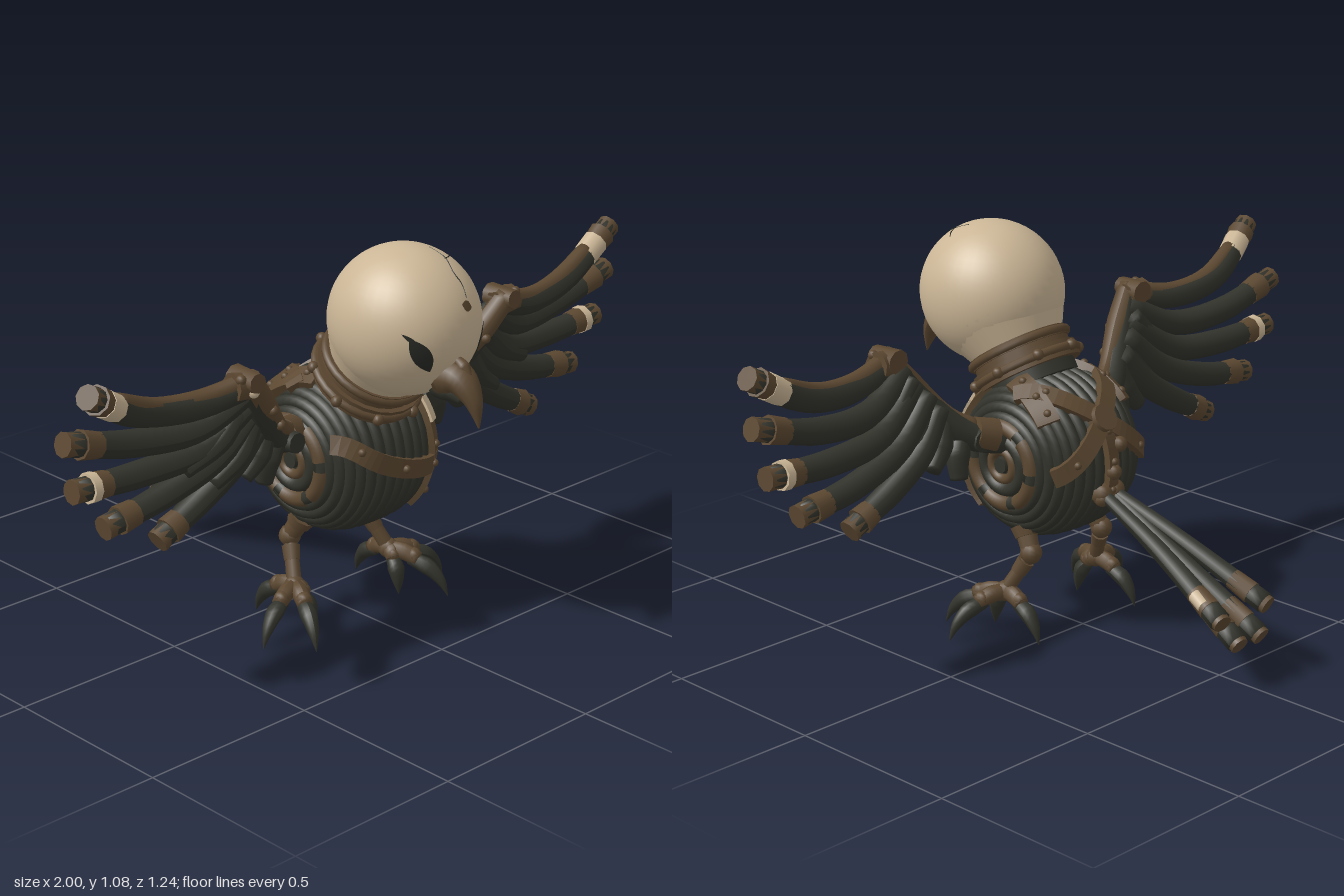
import * as THREE from 'three';

const mat = (name, color) => Object.assign(new THREE.MeshStandardMaterial({ color }), { name });
const V = (x, y, z) => new THREE.Vector3(x, y, z);

export function createModel() {
  const bone = mat('bone', 0xcbb696), leather = mat('brown leather', 0x5c4831);
  const rope = mat('dark rope', 0x32332b), black = mat('dark eye', 0x282a25);
  const model = new THREE.Group();
  const UP = V(0, 1, 0);

  const add = (name, geo, material, parent = model) => {
    const m = new THREE.Mesh(geo, material);
    m.name = name;
    parent.add(m);
    return m;
  };
  const group = (name) => {
    const g = new THREE.Group();
    g.name = name;
    model.add(g);
    return g;
  };
  // Straight rod between two points
  const rod = (name, a, b, r1, r2, material, parent, sides = 9) => {
    const d = b.clone().sub(a);
    const m = add(name, new THREE.CylinderGeometry(r2, r1, d.length(), sides), material, parent);
    m.position.copy(a).add(b).multiplyScalar(0.5);
    m.quaternion.setFromUnitVectors(UP, d.normalize());
    return m;
  };
  const ball = (name, p, r, material, parent) => {
    const m = add(name, new THREE.SphereGeometry(r, 10, 8), material, parent);
    m.position.copy(p);
    return m;
  };
  // Curved tube with closed ends whose radius follows a list
  const taper = (name, pts, radii, material, parent, segs = 18, sides = 10) => {
    const curve = new THREE.CatmullRomCurve3(pts);
    const geo = new THREE.TubeGeometry(curve, segs, 1, sides);
    const pos = geo.attributes.position, nor = geo.attributes.normal, n = V(0, 0, 0);
    for (let i = 0; i < pos.count; i++) {
      const ring = Math.floor(i / (sides + 1));
      const u = THREE.MathUtils.clamp((ring - 1) / (segs - 2), 0, 1);
      const f = u * (radii.length - 1), k = Math.min(Math.floor(f), radii.length - 2);
      const r = ring === 0 || ring === segs ? 0 : THREE.MathUtils.lerp(radii[k], radii[k + 1], f - k);
      const p = curve.getPointAt(u).addScaledVector(n.fromBufferAttribute(nor, i), r);
      pos.setXYZ(i, p.x, p.y, p.z);
    }
    geo.computeVertexNormals();
    add(name, geo, material, parent);
    return curve;
  };

  // Body: rope coils wound about the x axis over a solid core
  const body = group('body');
  const C = V(0, 0.485, 0.122), E = 0.66;
  const girth = (x, halfWidth, r) => r * Math.pow(1 - Math.pow(Math.min(Math.abs(x) / halfWidth, 0.99), 2 / E), E / 2);
  const coreProfile = [];
  for (let i = 0; i <= 24; i++) {
    const a = -Math.PI / 2 + Math.PI * i / 24, s = Math.sin(a);
    coreProfile.push(new THREE.Vector2(0.205 * Math.pow(Math.max(Math.cos(a), 0), E), 0.172 * Math.sign(s) * Math.pow(Math.abs(s), E)));
  }
  const core = add('body core', new THREE.LatheGeometry(coreProfile, 32), rope, body);
  core.position.copy(C);
  core.rotation.z = Math.PI / 2;
  const coil = (x, r, tube, material, name = 'rope coil', arc = Math.PI * 2, turn = 0) => {
    const m = add(name, new THREE.TorusGeometry(r, tube, 8, arc > 6 ? 40 : 8, arc), material, body);
    m.position.set(x, C.y, C.z);
    m.rotation.set(turn, Math.PI / 2, 0, 'XYZ');
  };
  coil(0, 0.21, 0.019, rope);
  for (const s of [-1, 1]) {
    [0.033, 0.066, 0.096, 0.12, 0.139, 0.155, 0.167].forEach((x) => coil(s * x, girth(x, 0.181, 0.21), 0.019, rope));
    coil(s * 0.176, 0.108, 0.02, rope, 'side hub coil');
    for (let k = 0; k < 6; k++) coil(s * 0.182, 0.108, 0.022, leather, 'side hub segment', 0.82, k * Math.PI / 3);
    coil(s * 0.178, 0.07, 0.02, rope, 'side hub coil');
    coil(s * 0.183, 0.04, 0.014, leather, 'side hub inner ring');
    rod('side hub cap', V(s * 0.16, C.y, C.z), V(s * 0.195, C.y, C.z), 0.025, 0.022, rope, body);
  }

  // Harness straps laid on the body; points are [x, degrees from the front over the top]
  const onBody = (x, deg, off) => {
    const r = girth(x, 0.2, 0.227) + off;
    const a = THREE.MathUtils.degToRad(deg);
    return V(x, C.y + r * Math.sin(a), C.z + r * Math.cos(a));
  };
  const strap = (name, list, w, material, top = 0.014) => {
    const path = new THREE.CatmullRomCurve3(list.map(([x, d]) => V(x, d / 300, 0)));
    const at = (u) => { const p = path.getPoint(u); return onBody(p.x, p.y * 300, 0); };
    const N = 24, rings = [], tris = [];
    for (let i = 0; i <= N; i++) {
      const u = i / N, p = at(u);
      const t = at(Math.min(u + 0.01, 1)).sub(at(Math.max(u - 0.01, 0))).normalize();
      const n = p.clone().sub(C).normalize(), s = t.clone().cross(n).normalize();
      n.copy(s).cross(t);
      rings.push([[w, top], [-w, top], [-w, -0.03], [w, -0.03]].map(([a, b]) => p.clone().addScaledVector(s, a).addScaledVector(n, b)));
    }
    for (let i = 0; i < N; i++) for (let k = 0; k < 4; k++) {
      const j = (k + 1) % 4, a = rings[i][k], b = rings[i][j], c = rings[i + 1][j], d = rings[i + 1][k];
      tris.push(a, c, b, a, d, c);
    }
    const [a, b, c, d] = rings[0], [e, f, g, h] = rings[N];
    tris.push(a, b, c, a, c, d, e, g, f, e, h, g);
    const geo = new THREE.BufferGeometry().setFromPoints(tris);
    geo.computeVertexNormals();
    add(name, geo, material, body);
    [0.15, 0.5, 0.85].forEach((u) => {
      const q = path.getPoint(u);
      if (material === leather) ball('strap rivet', onBody(q.x, q.y * 300, 0.013), 0.011, leather, body);
    });
  };
  strap('chest strap', [[-0.175, 30], [-0.1, 10], [0, -2], [0.1, -8], [0.175, -10]], 0.026, leather, 0.011);
  strap('shoulder strap', [[0.11, 60], [0.13, 25], [0.14, -15], [0.125, -50]], 0.024, leather, 0.011);
  strap('shoulder strap plate', [[0.122, 40], [0.127, 31], [0.13, 22]], 0.022, bone, 0.018);
  for (const s of [-1, 1]) {
    strap('back cross strap', [[s * 0.15, 95], [s * 0.08, 125], [0, 146], [-s * 0.09, 165], [-s * 0.165, 180]], 0.025, leather);
    strap('back patch', [[s * 0.11, 85], [s * 0.135, 112], [s * 0.145, 135]], 0.032, leather, 0.012);
  }
  strap('spine strap', [[0, 146], [0, 175], [0, 203]], 0.018, leather);
  rod('back hub', onBody(0, 146, -0.02), onBody(0, 146, 0.024), 0.048, 0.038, leather, body, 12);
  [165, 182, 200].forEach((d, i) => ball('back stud', onBody((i - 1) * 0.03, d, 0.01), 0.022, leather, body));

  // Neck collar, tilted forward
  const neck = group('neck');
  neck.position.set(0, 0.725, 0.228);
  neck.rotation.x = 0.58;
  const band = (y, r, h, material, name) => { add(name, new THREE.CylinderGeometry(r, r, h, 24), material, neck).position.y = y; };
  band(-0.062, 0.128, 0.05, rope, 'neck base');
  band(-0.03, 0.149, 0.045, leather, 'lower collar');
  band(0.002, 0.136, 0.03, leather, 'neck wrap');
  band(0.024, 0.141, 0.028, leather, 'upper collar');
  for (const [y, r] of [[-0.03, 0.147], [0.024, 0.139]]) {
    const m = add('collar rim', new THREE.TorusGeometry(r, 0.012, 8, 32), leather, neck);
    m.rotation.x = Math.PI / 2;
    m.position.y = y;
  }
  for (let k = 0; k < 8; k++) {
    const a = k * Math.PI / 4 + 0.3;
    ball('collar stud', V(0.155 * Math.sin(a), -0.03, 0.155 * Math.cos(a)), 0.016, leather, neck);
  }
  add('skull base', new THREE.CylinderGeometry(0.176, 0.13, 0.09, 32, 1, true), bone, neck).position.y = 0.075;

  // Skull with eyes and cracks wrapped onto its surface
  const head = group('head');
  const H = V(0, 0.89, 0.345), R = V(0.194, 0.198, 0.205);
  const skull = add('skull', new THREE.SphereGeometry(1, 40, 28), bone, head);
  skull.scale.copy(R);
  skull.position.copy(H);
  const onSkull = (x, y, off) => {
    const a = x / R.x, b = (y - H.y) / R.y;
    return V(a, b, Math.sqrt(Math.max(0, 1 - a * a - b * b))).normalize().multiply(R).multiplyScalar(1 + off).add(H);
  };
  const patch = (name, cx, cy, len, wid, tilt, material) => {
    const geo = new THREE.PlaneGeometry(2, 2, 12, 6), p = geo.attributes.position;
    for (let i = 0; i < p.count; i++) {
      const u = p.getX(i), v = p.getY(i) * wid * (1 - u * u), w = u * len;
      const q = onSkull(cx + w * Math.cos(tilt) - v * Math.sin(tilt), cy + w * Math.sin(tilt) + v * Math.cos(tilt), 0.012);
      p.setXYZ(i, q.x, q.y, q.z);
    }
    geo.computeVertexNormals();
    add(name, geo, material, head);
  };
  for (const s of [-1, 1]) {
    patch('eye', s * 0.106, 0.857, 0.055, 0.02, s > 0 ? 1.05 : Math.PI - 1.05, black);
    patch('brow mark', s * 0.13, 0.9, 0.022, 0.005, s > 0 ? 0.8 : Math.PI - 0.8, black);
  }
  patch('skull chip', 0.03, 0.962, 0.019, 0.013, -0.4, leather);
  const crack = (pts) => taper('skull crack', pts.map(([x, y]) => onSkull(x, y, 0.002)), [0.001, 0.0018, 0.001], black, head, 14, 5);
  crack([[0.04, 0.98], [0.045, 1.01], [0.038, 1.035], [0.055, 1.06], [0.05, 1.078]]);
  crack([[0.05, 1.06], [0.08, 1.055], [0.1, 1.05]]);

  // Hooked beak
  taper('upper beak', [V(0, 0.775, 0.49), V(0, 0.776, 0.545), V(0, 0.738, 0.588), V(0, 0.695, 0.606), V(0, 0.663, 0.613)], [0.054, 0.046, 0.033, 0.018, 0.002], leather, head);
  taper('lower beak', [V(0, 0.745, 0.47), V(0, 0.737, 0.515), V(0, 0.718, 0.55)], [0.036, 0.03, 0.008], rope, head);
  taper('beak ridge', [V(0, 0.828, 0.53), V(0, 0.816, 0.553), V(0, 0.79, 0.578)], [0.012, 0.017, 0.008], leather, head);

  // Feather with a two-step sheath at its tip
  const feather = (pts, radii, cut, r, parent, name) => {
    const c = taper(name, pts, radii, rope, parent);
    rod(name + ' sheath', c.getPointAt(cut), c.getPointAt(cut + (1 - cut) * 0.6), r * 0.97, r * 1.08, leather, parent);
    rod(name + ' tip', c.getPointAt(cut + (1 - cut) * 0.5), c.getPointAt(1).addScaledVector(c.getTangentAt(1), 0.012), r * 0.85, r * 0.9, leather, parent);
    return c;
  };
  const FEATHERS = [
    [[0.46, 0.8, 0.26], [0.59, 0.77, 0.24], [0.78, 0.79, 0.21], [0.975, 0.89, 0.19]],
    [[0.43, 0.78, 0.24], [0.58, 0.705, 0.205], [0.77, 0.71, 0.18], [0.975, 0.763, 0.18]],
    [[0.41, 0.74, 0.22], [0.56, 0.64, 0.19], [0.74, 0.62, 0.172], [0.945, 0.63, 0.17]],
    [[0.38, 0.71, 0.2], [0.5, 0.6, 0.18], [0.66, 0.54, 0.168], [0.85, 0.508, 0.168]],
    [[0.35, 0.67, 0.19], [0.43, 0.57, 0.175], [0.54, 0.495, 0.168], [0.68, 0.425, 0.168]],
  ];
  const SWEEP = [0, -0.012, 0.01, 0.085];
  const COVERTS = [[[0.42, 0.76], [0.52, 0.65], [0.62, 0.6]], [[0.38, 0.7], [0.44, 0.59], [0.52, 0.53]], [[0.33, 0.64], [0.36, 0.56], [0.4, 0.51]], [[0.28, 0.6], [0.31, 0.53], [0.315, 0.47]]];
  for (const s of [-1, 1]) {
    const wing = group(s > 0 ? 'leftWing' : 'rightWing');
    const P = (x, y, z) => V(s * x, y, z);
    FEATHERS.forEach((f, i) => {
      const swept = s < 0 && i === 0;
      const pts = f.map(([x, y, z], k) => P(x, y + (swept ? k * 0.006 : 0), z + (swept ? SWEEP[k] : 0)));
      const c = feather(pts, [0.03, 0.037, 0.036, 0.031], i ? 0.83 : 0.88, 0.036, wing, 'wing feather');
      if (i === 0) {
        rod('bone band', c.getPointAt(0.78), c.getPointAt(0.89), 0.036, 0.037, bone, wing);
        taper('leading edge strip', [0, 0.25, 0.5, 0.78].map((u) => c.getPointAt(u).add(V(0, 0.017, 0.002))), [0.025, 0.025, 0.025, 0.023], leather, wing);
      }
      if (i === 2) rod('bone ring', c.getPointAt(0.9), c.getPointAt(0.94), 0.0395, 0.0395, bone, wing);
    });
    COVERTS.forEach((f) => taper('short feather', f.map(([x, y], k) => P(x, y, 0.215 - k * 0.01 - (0.42 - f[0][0]) * 0.3)), [0.025, 0.034, 0.024], rope, wing));
    // Arm, shoulder and wrist joints
    taper('arm rope', [P(0.17, 0.55, 0.13), P(0.27, 0.58, 0.16), P(0.37, 0.68, 0.22), P(0.46, 0.81, 0.265)], [0.04, 0.036, 0.034, 0.03], rope, wing);
    taper('arm guard', [P(0.24, 0.6, 0.165), P(0.3, 0.63, 0.197), P(0.385, 0.718, 0.24), P(0.47, 0.825, 0.272)], [0.02, 0.026, 0.034, 0.03], leather, wing);
    rod('shoulder cuff', P(0.2, 0.57, 0.135), P(0.255, 0.585, 0.155), 0.048, 0.045, leather, wing);
    rod('shoulder pin', P(0.25, 0.57, 0.12), P(0.25, 0.575, 0.212), 0.034, 0.028, rope, wing);
    rod('wrist joint', P(0.465, 0.815, 0.215), P(0.468, 0.82, 0.303), 0.034, 0.026, leather, wing);
    rod('wrist cuff', P(0.44, 0.8, 0.258), P(0.51, 0.806, 0.252), 0.037, 0.039, leather, wing);
    [[0.39, 0.72, 0.272], [0.34, 0.66, 0.245], [0.5, 0.83, 0.275]].forEach((p) => ball('arm stud', P(...p), 0.014, leather, wing));
    if (s < 0) ball('wrist bone chip', P(0.47, 0.795, 0.288), 0.016, bone, wing);

    // Leg with four clawed toes
    const leg = group(s > 0 ? 'leftLeg' : 'rightLeg');
    const hip = P(0.125, 0.3, 0.1), knee = P(0.138, 0.235, 0.062), ankle = P(0.178, 0.12, 0.122);
    rod('hip cuff', hip, hip.clone().lerp(knee, 0.4), 0.04, 0.033, leather, leg);
    rod('thigh', hip, knee, 0.03, 0.026, leather, leg);
    ball('knee', knee, 0.031, leather, leg);
    rod('shin', knee, ankle, 0.019, 0.021, leather, leg);
    rod('shin cuff', knee.clone().lerp(ankle, 0.2), knee.clone().lerp(ankle, 0.5), 0.025, 0.022, leather, leg);
    ball('ankle', ankle, 0.029, leather, leg);
    [[0.25, 0.283], [0.34, 0.175], [0.162, 0.18], [0.19, -0.018]].forEach(([x, z]) => {
      const tip = P(x, 0.004, z), at = (t, y) => ankle.clone().lerp(tip, t).setY(y);
      taper('toe', [ankle, at(0.25, 0.117), at(0.5, 0.1)], [0.022, 0.024, 0.021], leather, leg, 10);
      ball('toe joint', at(0.42, 0.11), 0.022, leather, leg);
      taper('claw', [at(0.36, 0.1), at(0.68, 0.08), at(0.9, 0.042), tip], [0.018, 0.024, 0.015, 0.001], rope, leg, 12);
    });

    // Tail feathers on this side
    const tail = group(s > 0 ? 'leftTail' : 'rightTail');
    for (const [x, y, z] of [[0.088, 0.205, -0.575], [0.042, 0.137, -0.595]]) {
      const c = feather([P(0.018, 0.42, -0.08), P(x * 0.55, (y + 0.42) / 2 + 0.008, -0.33), P(x, y, z)], [0.016, 0.023, 0.03], 0.8, 0.029, tail, 'tail feather');
      if (s > 0 && x > 0.08) rod('bone patch', c.getPointAt(0.82).add(V(0.014, 0.006, 0)), c.getPointAt(0.9).add(V(0.014, 0.006, 0)), 0.02, 0.02, bone, tail);
    }
    ball('tail root', P(0.022, 0.415, -0.092), 0.032, leather, tail);
  }
  return model;
}
